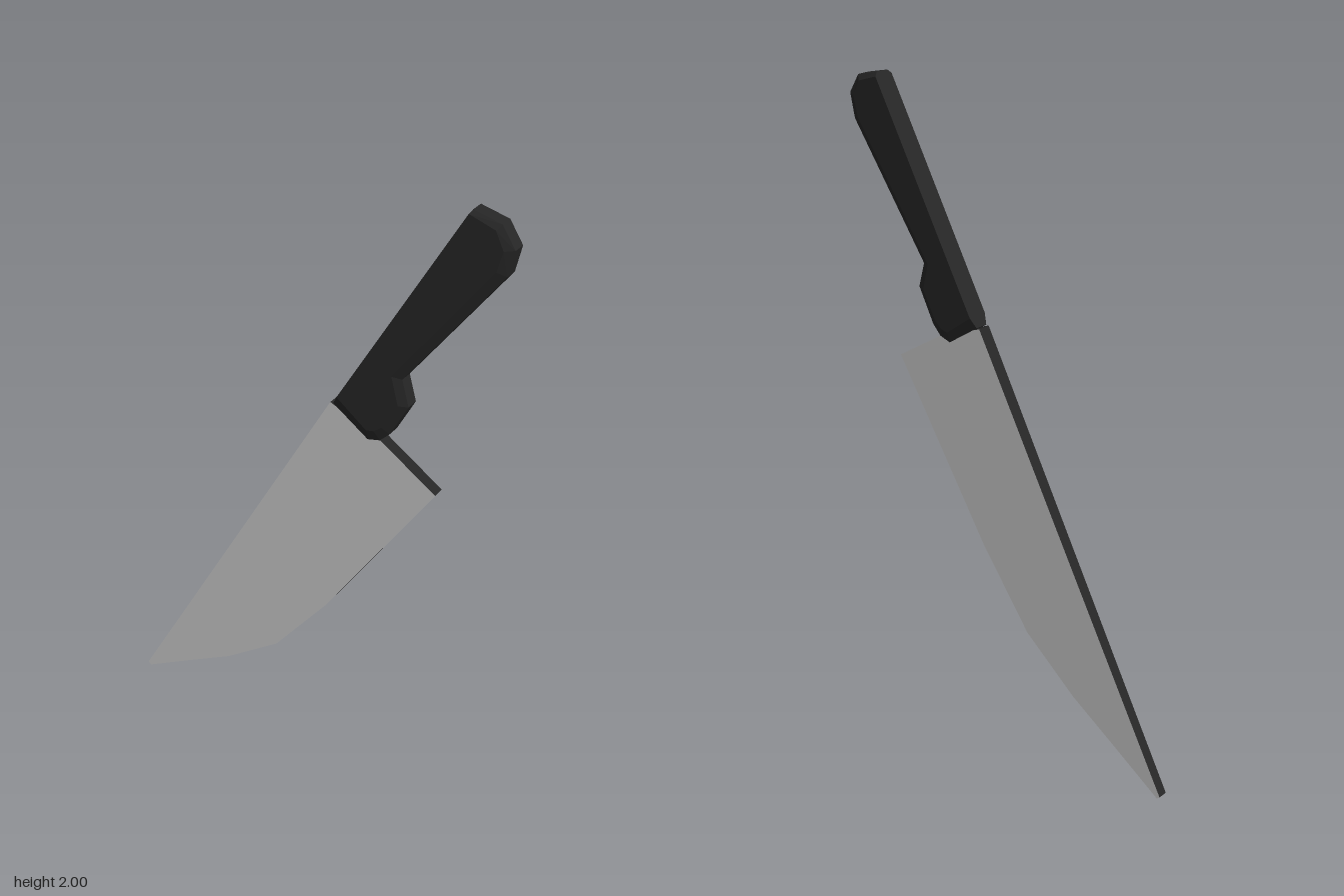
import * as THREE from 'three';

// Stacks matching counter-clockwise outlines along z and closes them.
// Each layer is { points: [[x, y], ...], depth: (y) => z }, ordered back to front.
// Group 0 is the two flat sides, group 1 the rim.
function loft(layers) {
  const at = (layer, i) => {
    const [x, y] = layer.points[i % layer.points.length];
    return [x, y, layer.depth(y)];
  };
  const positions = [];
  const triangle = (a, b, c) => positions.push(...a, ...b, ...c);
  const back = layers[0], front = layers[layers.length - 1];

  for (const layer of [back, front]) {
    const contour = layer.points.map(([x, y]) => new THREE.Vector2(x, y));
    for (const [a, b, c] of THREE.ShapeUtils.triangulateShape(contour, [])) {
      if (layer === front) triangle(at(layer, a), at(layer, b), at(layer, c));
      else triangle(at(layer, a), at(layer, c), at(layer, b));
    }
  }
  const sideCount = positions.length / 3;

  for (let k = 0; k < layers.length - 1; k++) {
    const lower = layers[k], upper = layers[k + 1];
    for (let i = 0; i < lower.points.length; i++) {
      const a = at(lower, i), b = at(lower, i + 1);
      const c = at(upper, i + 1), d = at(upper, i);
      triangle(a, b, c);
      triangle(a, c, d);
    }
  }

  const geometry = new THREE.BufferGeometry();
  geometry.setAttribute('position', new THREE.Float32BufferAttribute(positions, 3));
  geometry.addGroup(0, sideCount, 0);
  geometry.addGroup(sideCount, positions.length / 3 - sideCount, 1);
  geometry.computeVertexNormals();
  return geometry;
}

export function createModel() {
  const steel = new THREE.MeshStandardMaterial({ color: 0xcccccc });
  steel.name = 'steel';
  const black = new THREE.MeshStandardMaterial({ color: 0x262626 });
  black.name = 'black';

  // Blade: straight spine, curved cutting edge, slightly thinner at the tip
  const bladeOutline = [
    [0.105, 1.32], [-0.64, 0.01], [-0.63, 0], [-0.46, 0.1], [-0.287, 0.2],
    [-0.092, 0.345], [0.098, 0.59], [0.452, 1.13], [0.27, 1.25],
  ];
  const halfThickness = (y) => 0.015 + 0.0035 * y;
  const blade = new THREE.Mesh(loft([
    { points: bladeOutline, depth: (y) => -halfThickness(y) },
    { points: bladeOutline, depth: halfThickness },
  ]), [steel, black]);
  blade.name = 'blade';

  // Handle: bevelled all round except along the flat spine
  const outer = [
    [0.115, 1.32], [0.23, 1.24], [0.27, 1.25], [0.3, 1.28], [0.356, 1.385],
    [0.333, 1.465], [0.616, 1.845], [0.632, 1.92], [0.592, 1.98], [0.51, 2],
  ];
  const inner = [
    [0.132, 1.35], [0.23, 1.275], [0.255, 1.28], [0.28, 1.3], [0.328, 1.385],
    [0.305, 1.47], [0.59, 1.855], [0.605, 1.915], [0.58, 1.965], [0.504, 1.99],
  ];
  const handle = new THREE.Mesh(loft([
    { points: inner, depth: () => -0.031 },
    { points: outer, depth: () => -0.02 },
    { points: outer, depth: () => 0.02 },
    { points: inner, depth: () => 0.031 },
  ]), black);
  handle.geometry.clearGroups();
  handle.name = 'handle';

  // The knife stands on its tip, turned about the vertical
  const knife = new THREE.Group();
  knife.name = 'knife';
  knife.add(blade, handle);
  knife.position.set(-0.003, 0, 0.002);
  knife.rotation.y = THREE.MathUtils.degToRad(-60.5);

  const model = new THREE.Group();
  model.add(knife);
  return model;
}
